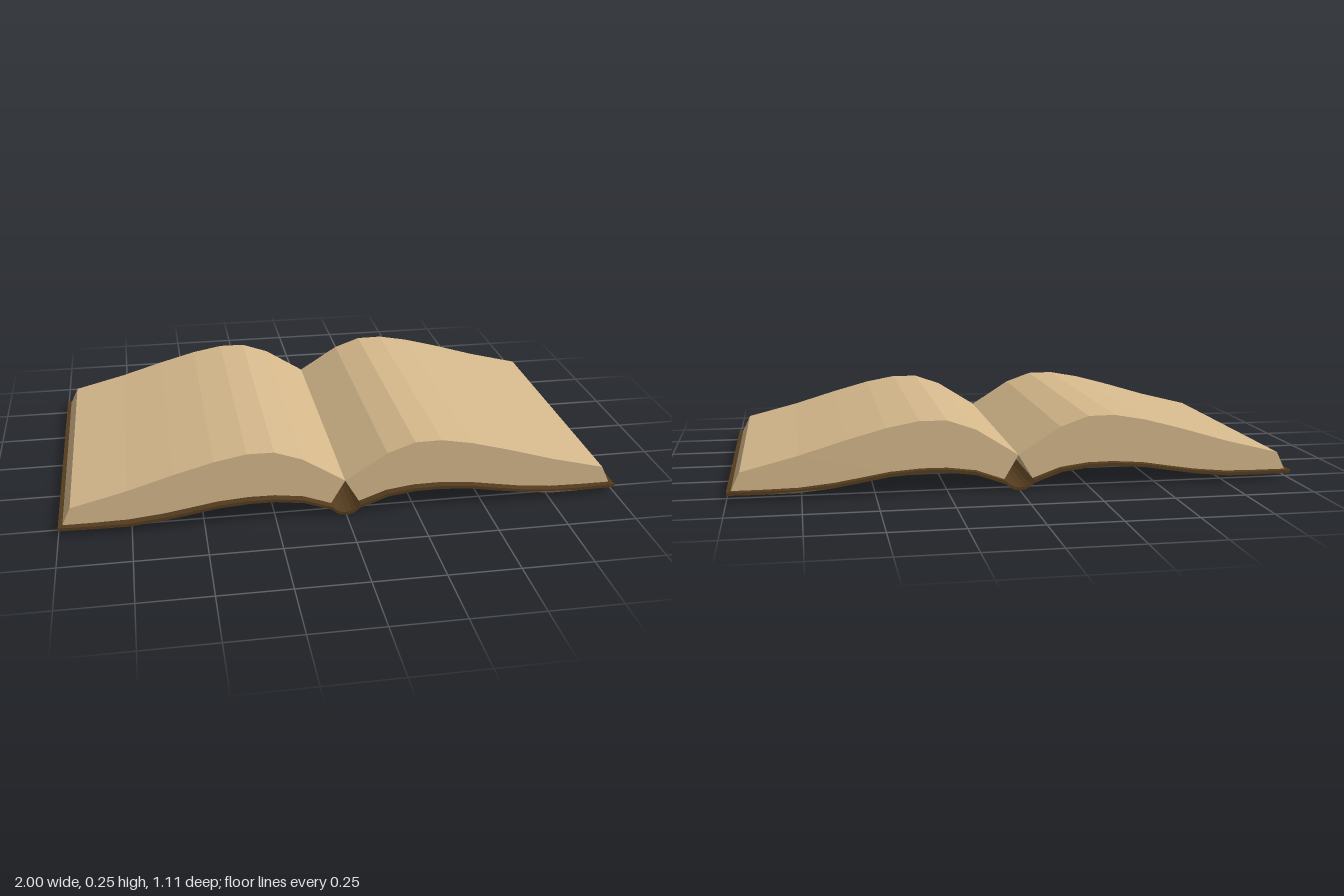
import * as THREE from 'three';

const THICKNESS = 0.011;

// Upper line of the cover, from the gutter to the outer edge
const coverTop = [
  [0, 0.011], [0.02, 0.014], [0.035, 0.022], [0.05, 0.035], [0.15, 0.071],
  [0.25, 0.084], [0.34, 0.085], [0.45, 0.077], [0.54, 0.062], [0.64, 0.046],
  [0.76, 0.034], [0.88, 0.032], [1, 0.032],
];

// Upper line of the page block, from the gutter to the outer edge
const pageTop = [
  [0, 0.12], [0.15, 0.215], [0.25, 0.25], [0.345, 0.251], [0.46, 0.23],
  [0.6, 0.192], [0.76, 0.144], [0.955, 0.095],
];

function extrude(points, halfDepth) {
  const shape = new THREE.Shape(points.map(([x, y]) => new THREE.Vector2(x, y)));
  const geometry = new THREE.ExtrudeGeometry(shape, { depth: halfDepth * 2, bevelEnabled: false });
  return geometry.translate(0, 0, -halfDepth);
}

const mirror = (points) => points.map(([x, y]) => [-x, y]);

export function createModel() {
  const book = new THREE.Group();
  book.name = 'openBook';
  const paper = new THREE.MeshStandardMaterial({ name: 'agedPaper', color: 0xd6b98c });
  const leather = new THREE.MeshStandardMaterial({ name: 'brownLeather', color: 0x543c1e });

  // One thin bent cover, with the spine dipping in the middle
  const top = [...mirror(coverTop.slice(1)).reverse(), ...coverTop];
  const bottom = top.map(([x, y]) => [x, Math.max(0, y - THICKNESS)]);
  const coverGeometry = extrude([...bottom, ...top.reverse()], 0.557);

  // The cover narrows slightly toward its outer corners
  const position = coverGeometry.attributes.position;
  for (let i = 0; i < position.count; i++) {
    const t = Math.max(0, (Math.abs(position.getX(i)) - 0.76) / 0.24);
    position.setZ(i, position.getZ(i) * (1 - 0.018 * t));
  }
  coverGeometry.computeVertexNormals();
  const cover = new THREE.Mesh(coverGeometry, leather);
  cover.name = 'cover';
  book.add(cover);

  // Two page blocks that rest on the cover and meet above the spine
  const resting = coverTop.slice(3, -1);
  const outline = [...resting, [0.985, 0.032], ...[...pageTop].reverse()];
  for (const [name, points] of [['leftPages', outline], ['rightPages', mirror(outline)]]) {
    const pages = new THREE.Mesh(extrude(points, 0.526), paper);
    pages.name = name;
    book.add(pages);
  }

  return book;
}
